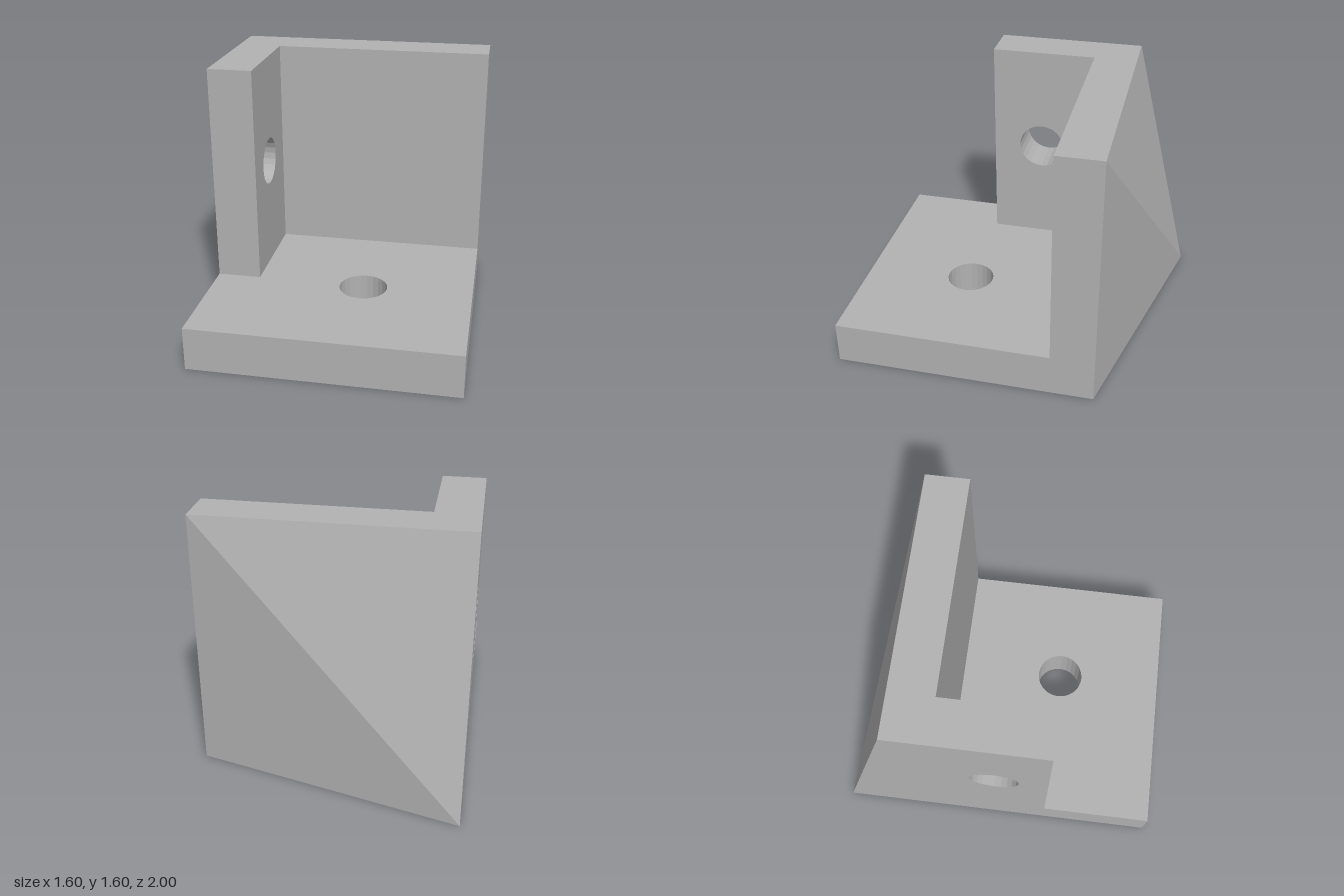
import * as THREE from 'three';

const W = 0.8;        // half width
const H = 1.6;        // full height
const T = 0.267;      // wall thickness
const BACK = -0.6;    // rear plane of the bracket
const FRONT = 1;
const HOLE = 0.148;   // bolt hole radius

// Rectangular plate with one round bolt hole, extruded to the wall thickness
function drilledPlate(x0, y0, x1, y1, hx, hy) {
  const shape = new THREE.Shape();
  shape.moveTo(x0, y0).lineTo(x1, y0).lineTo(x1, y1).lineTo(x0, y1).closePath();
  shape.holes.push(new THREE.Path().absarc(hx, hy, HOLE, 0, Math.PI * 2, true));
  return new THREE.ExtrudeGeometry(shape, { depth: T, bevelEnabled: false, curveSegments: 12 });
}

// Sloping wedge on the back: its one rear corner tapers to the top and far edges
function wedgeGeometry() {
  const rear = [-W, 0, -1];
  const inner = [-W, 0, BACK];
  const far = [W, 0, BACK];
  const topNear = [-W, H, BACK];
  const topFar = [W, H, BACK];
  const faces = [
    [rear, topFar, far],
    [rear, topNear, topFar],
    [rear, inner, topNear],
    [rear, far, inner],
  ];
  const g = new THREE.BufferGeometry();
  g.setAttribute('position', new THREE.Float32BufferAttribute(faces.flat(2), 3));
  g.computeVertexNormals();
  return g;
}

export function createModel() {
  const group = new THREE.Group();
  group.name = 'cornerBracket';
  const grey = new THREE.MeshStandardMaterial({ color: 0xb2b2b2 });
  grey.name = 'grey';
  grey.flatShading = true;

  const add = (name, geometry) => {
    const mesh = new THREE.Mesh(geometry, grey);
    mesh.name = name;
    group.add(mesh);
  };

  // Floor plate with a vertical hole
  add('basePlate', drilledPlate(-W, -FRONT, W, -BACK, 0.13, -0.33).rotateX(-Math.PI / 2));

  // Full-width back wall
  const wallHeight = H - T;
  add('backWall', new THREE.BoxGeometry(2 * W, wallHeight, T)
    .translate(0, T + wallHeight / 2, BACK + T / 2));

  // Short side wall with a horizontal hole
  add('sideWall', drilledPlate(BACK + T, T, 0.32, H, 0, 0.935)
    .rotateY(-Math.PI / 2).translate(-W + T, 0, 0));

  add('backWedge', wedgeGeometry());
  return group;
}
